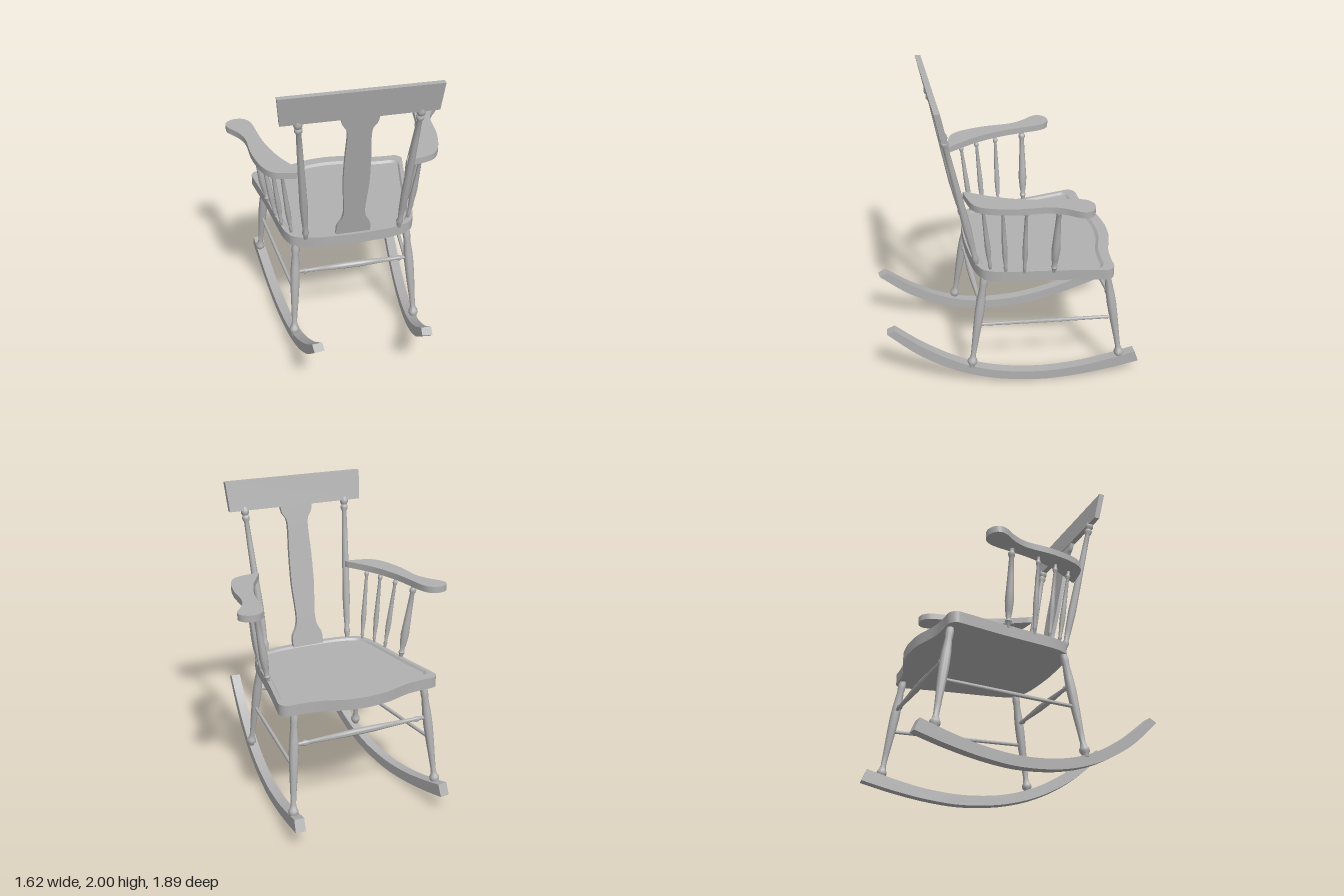
import * as THREE from 'three';
import { toCreasedNormals } from 'three/addons/utils/BufferGeometryUtils.js';

const wood = new THREE.MeshStandardMaterial({ color: 0xb0b0b0 });
wood.name = 'grey wood';

const V = (x, y, z) => new THREE.Vector3(x, y, z);
const v2 = (p) => new THREE.Vector2(p[0], p[1]);

function add(parent, name, geometry) {
  const mesh = new THREE.Mesh(geometry, wood);
  mesh.name = name;
  parent.add(mesh);
  return mesh;
}

// Smooth open curve through plan or profile points
const smooth = (pts, n) => new THREE.SplineCurve(pts.map(v2)).getPoints(n);

// Flat board: outline given as (x, z), raised from y0 by h
function slab(outline, y0, h, hole) {
  const flip = (pts) => pts.map((p) => new THREE.Vector2(p.x, -p.y));
  const shape = new THREE.Shape(flip(outline));
  if (hole) shape.holes.push(new THREE.Path(flip(hole)));
  const g = new THREE.ExtrudeGeometry(shape, { depth: h, bevelEnabled: false });
  g.rotateX(-Math.PI / 2).translate(0, y0, 0);
  return toCreasedNormals(g, 0.6);
}

// Turned part between two points; profile is [radius, fraction of length]
function turned(parent, name, a, b, profile) {
  const dir = b.clone().sub(a);
  const len = dir.length();
  const pts = [[0.0001, 0], ...profile, [0.0001, 1]].map(([r, t]) => new THREE.Vector2(r, t * len));
  const mesh = add(parent, name, toCreasedNormals(new THREE.LatheGeometry(pts, 20), 0.7));
  mesh.position.copy(a);
  mesh.quaternion.setFromUnitVectors(V(0, 1, 0), dir.normalize());
}

const LEG = [[0.02, 0], [0.022, 0.03], [0.032, 0.055], [0.032, 0.08], [0.023, 0.1], [0.017, 0.14], [0.02, 0.25],
  [0.027, 0.45], [0.031, 0.62], [0.029, 0.74], [0.022, 0.88], [0.025, 0.91], [0.025, 0.95], [0.02, 1]];
const BAR = [[0.012, 0], [0.012, 0.06], [0.019, 0.08], [0.012, 0.11], [0.016, 0.25], [0.021, 0.42],
  [0.021, 0.58], [0.016, 0.75], [0.012, 0.89], [0.019, 0.92], [0.012, 0.94], [0.012, 1]];
const ROD = [[0.011, 0], [0.013, 0.5], [0.011, 1]];
const POST = [[0.014, 0], [0.016, 0.03], [0.023, 0.055], [0.016, 0.08], [0.021, 0.16], [0.026, 0.3], [0.023, 0.5],
  [0.019, 0.75], [0.016, 0.9], [0.025, 0.92], [0.025, 0.935], [0.018, 0.945], [0.027, 0.96], [0.027, 0.975], [0.018, 1]];
const ARM_POST = [[0.012, 0], [0.015, 0.05], [0.022, 0.08], [0.015, 0.11], [0.022, 0.2], [0.028, 0.33], [0.025, 0.45],
  [0.02, 0.65], [0.015, 0.88], [0.022, 0.91], [0.022, 0.94], [0.015, 0.96], [0.016, 1]];
const SPINDLE = [[0.008, 0], [0.01, 0.06], [0.013, 0.08], [0.01, 0.11], [0.016, 0.25], [0.018, 0.36], [0.015, 0.55],
  [0.01, 0.88], [0.016, 0.91], [0.016, 0.93], [0.01, 0.95], [0.01, 1]];

function buildSeat(chair) {
  const half = [[0.14, -0.622], [0.3, -0.572], [0.42, -0.557], [0.505, -0.553], [0.542, -0.515], [0.535, -0.45],
    [0.49, -0.2], [0.445, 0.12], [0.415, 0.23], [0.37, 0.285], [0.26, 0.318], [0.13, 0.33]];
  const all = [[0, -0.637], ...half, [0, 0.335], ...half.map(([x, z]) => [-x, z]).reverse(), [0, -0.637]];
  const outer = smooth(all, 130).slice(0, -1);
  const inset = (sx, sz) => outer.map((p) => new THREE.Vector2(p.x * sx, p.y * sz));
  const lip = inset(0.935, 0.89);
  const floor = inset(0.91, 0.86);
  const yFloor = 0.858, yTop = 0.872;
  add(chair, 'seatBase', slab(outer, 0.8, yFloor - 0.8));
  add(chair, 'seatRim', slab(outer, yFloor, yTop - yFloor, lip));

  // Sloping wall of the shallow seat dish
  const pos = [];
  const index = [];
  const n = outer.length;
  for (let i = 0; i < n; i++) {
    pos.push(lip[i].x, yTop, lip[i].y, floor[i].x, yFloor, floor[i].y);
    const a = 2 * i, b = 2 * ((i + 1) % n);
    index.push(a, a + 1, b, b, a + 1, b + 1);
  }
  const g = new THREE.BufferGeometry();
  g.setAttribute('position', new THREE.Float32BufferAttribute(pos, 3));
  // Outline runs clockwise seen from below, so reverse for upward faces
  g.setIndex(index.reverse());
  g.computeVertexNormals();
  if (g.attributes.normal.getY(0) < 0) {
    g.setIndex(index.reverse());
    g.computeVertexNormals();
  }
  add(chair, 'seatDishEdge', g);
}

function buildRocker(chair, side) {
  const bottom = smooth([[-0.757, 0.106], [-0.55, 0.056], [-0.32, 0.016], [-0.08, 0], [0.2, 0.03],
    [0.456, 0.112], [0.7, 0.255], [0.908, 0.444]], 40);
  const top = smooth([[0.858, 0.468], [0.66, 0.308], [0.42, 0.168], [0.18, 0.092], [-0.08, 0.067],
    [-0.32, 0.085], [-0.53, 0.128], [-0.725, 0.182]], 40);
  const g = new THREE.ExtrudeGeometry(new THREE.Shape([...bottom, ...top]), { depth: 0.064, bevelEnabled: false });
  g.translate(0, 0, -0.032);
  const rocker = add(chair, side > 0 ? 'leftRocker' : 'rightRocker', toCreasedNormals(g, 0.5));
  rocker.rotation.y = Math.atan2(-1.665, -0.17 * side);
  rocker.position.x = 0.433 * side;
}

function buildSide(chair, side) {
  buildRocker(chair, side);

  // Legs and side stretcher
  const frontFoot = V(0.508 * side, 0.13, -0.628), frontTop = V(0.45 * side, 0.81, -0.522);
  const rearFoot = V(0.415 * side, 0.13, 0.368), rearTop = V(0.367 * side, 0.81, 0.262);
  turned(chair, 'frontLeg', frontFoot, frontTop, LEG);
  turned(chair, 'rearLeg', rearFoot, rearTop, LEG);
  const at = (a, b, y) => a.clone().lerp(b, (y - a.y) / (b.y - a.y));
  turned(chair, 'sideStretcher', at(frontFoot, frontTop, 0.455), at(rearFoot, rearTop, 0.455), ROD);

  // Cross stretchers, built once
  if (side > 0) {
    for (const [name, foot, top] of [['frontStretcher', frontFoot, frontTop], ['rearStretcher', rearFoot, rearTop]]) {
      const a = at(foot, top, 0.6);
      turned(chair, name, a, V(-a.x, a.y, a.z), BAR);
    }
  }

  // Back post
  turned(chair, 'backPost', V(0.305 * side, 0.86, 0.3), V(0.364 * side, 1.83, 0.498), POST);

  // Armrest with rounded hand end
  const arm = [[0.322, 0.365], [0.414, 0.209], [0.465, 0.092], [0.502, -0.032], [0.525, -0.165], [0.541, -0.272],
    [0.565, -0.334], [0.61, -0.366], [0.668, -0.362], [0.708, -0.325], [0.703, -0.27], [0.645, -0.185],
    [0.609, -0.087], [0.598, 0.082], [0.566, 0.23], [0.524, 0.315], [0.46, 0.356], [0.322, 0.38]];
  add(chair, 'armrest', slab(smooth(arm.map(([x, z]) => [x * side, z]), 80), 1.365, 0.042));

  // Arm post and spindles: foot x, z then top x, z
  const supports = [[0.478, -0.165, 0.556, -0.17], [0.455, 0.02, 0.53, 0.025],
    [0.432, 0.135, 0.487, 0.165], [0.385, 0.225, 0.442, 0.28]];
  supports.forEach(([x0, z0, x1, z1], i) => turned(chair, i ? 'armSpindle' : 'armPost',
    V(x0 * side, 0.86, z0), V(x1 * side, 1.37, z1), i ? SPINDLE : ARM_POST));
}

// Upright board in the leaning plane of the back
function backBoard(chair, name, outline, thickness) {
  const g = new THREE.ExtrudeGeometry(new THREE.Shape(outline), { depth: thickness, bevelEnabled: false });
  const p = g.attributes.position;
  for (let i = 0; i < p.count; i++) {
    p.setZ(i, p.getZ(i) - thickness / 2 + 0.3 + (p.getY(i) - 0.87) * 0.207);
  }
  add(chair, name, toCreasedNormals(g, 0.5));
}

function buildBack(chair) {
  backBoard(chair, 'topRail', [[-0.47, 1.81], [0.47, 1.81], [0.484, 2], [-0.484, 2]].map(v2), 0.036);
  const edge = smooth([[0.112, 0.865], [0.108, 0.94], [0.078, 1.0], [0.068, 1.07], [0.072, 1.15], [0.082, 1.3],
    [0.08, 1.5], [0.073, 1.65], [0.078, 1.72], [0.105, 1.765], [0.115, 1.815]], 50);
  const mirrored = edge.map((p) => new THREE.Vector2(-p.x, p.y)).reverse();
  backBoard(chair, 'backSplat', [...edge, ...mirrored], 0.026);
}

export function createModel() {
  const model = new THREE.Group();
  model.name = 'rockingChair';
  const chair = new THREE.Group();
  chair.name = 'chair';
  buildSeat(chair);
  buildBack(chair);
  for (const side of [1, -1]) buildSide(chair, side);
  // The chair stands turned about the vertical axis
  chair.rotation.y = -Math.PI / 6;
  chair.position.set(-0.042, 0, -0.024);
  model.add(chair);
  return model;
}
